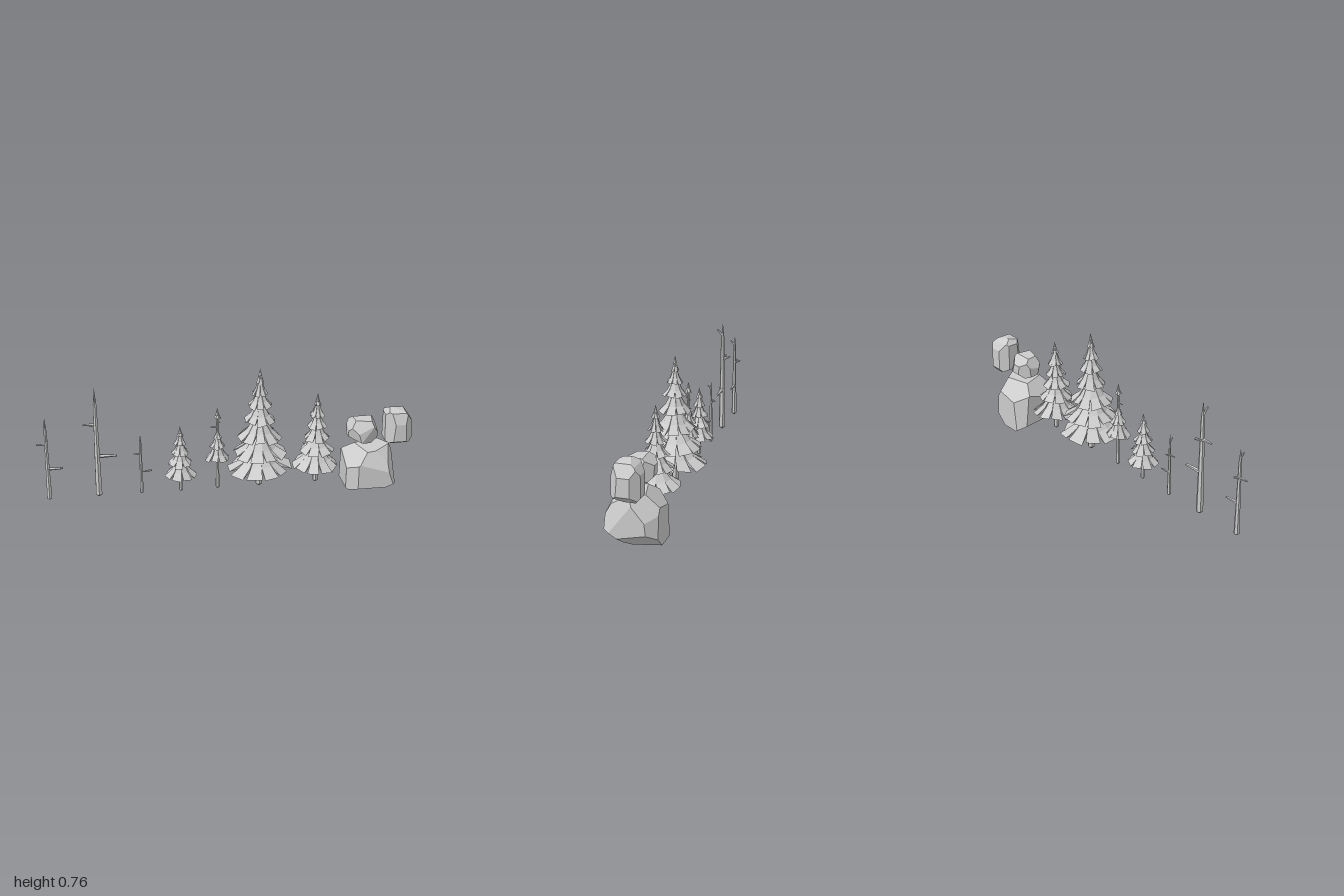
import * as THREE from 'three';
import { ConvexGeometry } from 'three/addons/geometries/ConvexGeometry.js';

const GROUND = 0.065; // height of the trunk feet
const material = new THREE.MeshStandardMaterial({ color: 0xcccccc, flatShading: true });

function seeded(seed) {
  return () => {
    seed = (seed * 16807) % 2147483647;
    return seed / 2147483647;
  };
}

function mesh(name, geometry, parent) {
  const m = new THREE.Mesh(geometry, material);
  m.name = name;
  parent.add(m);
  return m;
}

// Tapered six-sided trunk with a blunt pointed foot
function trunk(parent, radius, height) {
  const profile = [[0, 0], [radius, 0.025 * height], [radius * 0.8, 0.4 * height],
    [radius * 0.55, 0.85 * height], [0, height]];
  mesh('trunk', new THREE.LatheGeometry(profile.map(p => new THREE.Vector2(...p)), 6), parent);
}

// Tapered bough running between two points
function branch(parent, from, to, radius) {
  const a = new THREE.Vector3(...from), d = new THREE.Vector3(...to).sub(a);
  const g = new THREE.CylinderGeometry(radius * 0.55, radius, d.length(), 5);
  const m = mesh('branch', g, parent);
  m.quaternion.setFromUnitVectors(new THREE.Vector3(0, 1, 0), d.clone().normalize());
  m.position.copy(a).addScaledVector(d, 0.5);
}

// Ring of thick wedge-shaped fronds, flared towards the rim
function skirt(parent, y, radius, rise, rand) {
  const count = radius > 0.1 ? 10 : radius > 0.04 ? 8 : 6;
  const start = rand() * Math.PI, pos = [];
  for (let i = 0; i < count; i++) {
    const r = radius * (0.86 + 0.17 * rand()), drop = rise * 0.14 * (rand() - 0.4);
    const mid = start + (i + 0.5) / count * Math.PI * 2, half = Math.PI / count;
    const tilt = (rand() - 0.5) * rise * 0.16;
    // radius, height, share of the angular width
    const profile = [[0.26 * r, y + 1.12 * rise, 1], [0.6 * r, y + 0.45 * rise, 0.97],
      [r, y + drop, 0.82], [0.55 * r, y + 0.2 * rise, 0.92], [0.08 * r, y + 0.6 * rise, 1]];
    const side = s => profile.map(([pr, py, w]) => {
      const a = mid + s * half * w;
      return [pr * Math.sin(a), py + s * tilt * pr / r, pr * Math.cos(a)];
    });
    const L = side(-1), R = side(1), n = profile.length;
    for (let k = 0; k < n; k++) {
      const j = (k + 1) % n;
      pos.push(...L[k], ...L[j], ...R[j], ...L[k], ...R[j], ...R[k]);
    }
    for (const [p, q] of [[2, 3], [3, 4], [4, 0]]) {
      pos.push(...L[1], ...L[q], ...L[p], ...R[1], ...R[p], ...R[q]);
    }
  }
  const g = new THREE.BufferGeometry();
  g.setAttribute('position', new THREE.Float32BufferAttribute(pos, 3));
  g.computeVertexNormals();
  mesh('foliageTier', g, parent);
}

// Pine: tiers are [rim height, rim radius, rise]; the last one is capped by a spike
function pine(parent, name, x, top, trunkRadius, tiers, seed) {
  const tree = new THREE.Group(), rand = seeded(seed);
  tree.name = name;
  tree.position.set(x, GROUND, 0);
  trunk(tree, trunkRadius, top - GROUND - 0.01);
  for (const [y, r, rise] of tiers) skirt(tree, y - GROUND, r, rise, rand);
  const [y, r, rise] = tiers[tiers.length - 1];
  const base = y + 0.45 * rise;
  const spike = mesh('treetop', new THREE.ConeGeometry(r * 0.55, top - base, 6), tree);
  spike.position.y = (top + base) / 2 - GROUND;
  parent.add(tree);
  return tree;
}

// Bare trunk with a few broken boughs, reused at several sizes
function deadTree(parent, x, scale) {
  const tree = new THREE.Group();
  tree.name = 'deadTree';
  trunk(tree, 0.019, 0.64);
  branch(tree, [0, 0.243, 0], [0.103, 0.241, -0.002], 0.012);
  branch(tree, [0, 0.43, 0], [-0.067, 0.431, 0], 0.009);
  branch(tree, [0, 0.425, 0], [0.006, 0.445, -0.045], 0.01);
  branch(tree, [0, 0.565, 0], [0, 0.598, 0.033], 0.008);
  tree.scale.setScalar(scale);
  tree.position.set(x, GROUND, -0.005);
  parent.add(tree);
}

// Boulder: a box trimmed by planes [nx, ny, nz, distance], in half-extent units
function rock(parent, name, min, max, cuts) {
  const planes = [];
  for (const s of [-1, 1]) planes.push([s, 0, 0, 1], [0, s, 0, 1], [0, 0, s, 1]);
  planes.push(...cuts);
  const N = planes.map(p => new THREE.Vector3(p[0], p[1], p[2])), points = [];
  for (let i = 0; i < N.length; i++) for (let j = i + 1; j < N.length; j++) {
    for (let k = j + 1; k < N.length; k++) {
      const jk = N[j].clone().cross(N[k]), det = N[i].dot(jk);
      if (Math.abs(det) < 1e-6) continue;
      const p = jk.multiplyScalar(planes[i][3])
        .addScaledVector(N[k].clone().cross(N[i]), planes[j][3])
        .addScaledVector(N[i].clone().cross(N[j]), planes[k][3]).divideScalar(det);
      const inside = planes.every((q, m) => N[m].dot(p) <= q[3] + 1e-6);
      if (inside && !points.some(o => o.distanceTo(p) < 1e-3)) points.push(p);
    }
  }
  const lo = new THREE.Vector3(...min), hi = new THREE.Vector3(...max);
  const half = hi.clone().sub(lo).multiplyScalar(0.5);
  const m = mesh(name, new ConvexGeometry(points.map(p => p.multiply(half))), parent);
  m.position.copy(lo).add(half);
}

export function createModel() {
  const model = new THREE.Group();
  model.name = 'forestSet';

  deadTree(model, -0.95, 0.77);
  deadTree(model, -0.688, 1);
  deadTree(model, -0.46, 0.56);

  pine(model, 'smallPine', -0.25, 0.457, 0.011,
    [[0.168, 0.088, 0.07], [0.235, 0.066, 0.06], [0.295, 0.05, 0.055],
      [0.35, 0.035, 0.05], [0.4, 0.02, 0.03]], 11);

  // Thin pine with a bare stretch below its tip
  const thin = pine(model, 'thinPine', -0.052, 0.55, 0.011,
    [[0.25, 0.068, 0.07], [0.322, 0.044, 0.05], [0.372, 0.024, 0.035],
      [0.492, 0.02, 0.03]], 29);
  branch(thin, [0, 0.373, 0], [-0.036, 0.375, 0], 0.004);
  branch(thin, [0, 0.395, 0], [0.014, 0.405, 0.01], 0.004);

  pine(model, 'tallPine', 0.173, 0.762, 0.02,
    [[0.178, 0.176, 0.09], [0.268, 0.148, 0.09], [0.365, 0.118, 0.09], [0.46, 0.088, 0.085],
      [0.55, 0.067, 0.068], [0.617, 0.044, 0.06], [0.68, 0.022, 0.05]], 47);

  pine(model, 'mediumPine', 0.483, 0.6, 0.015,
    [[0.175, 0.128, 0.085], [0.262, 0.1, 0.075], [0.335, 0.078, 0.07],
      [0.405, 0.058, 0.06], [0.465, 0.042, 0.06], [0.53, 0.022, 0.04]], 83);

  rock(model, 'largeRock', [0.637, 0, -0.135], [0.902, 0.27, 0.13], [
    [0, -1, 0.55, 1.02], [0.35, -0.8, 0.5, 1.08], [-0.6, -1, 0.1, 1.25],
    [-0.8, 0.9, 0.3, 1.25], [0.5, 0.8, 0.6, 1.25], [0.2, 0.6, 1, 1.25],
    [1, 0.35, 0.45, 1.2], [0.8, 0.5, -0.6, 1.2], [0.8, -0.9, -0.2, 1.26],
    [1, 0.1, -1, 1.6], [-0.8, 0.1, -0.9, 1.35], [-0.2, 0.9, -0.8, 1.2], [-1, 0, 1, 1.58]]);

  rock(model, 'smallRock', [0.655, 0.295, -0.085], [0.81, 0.43, 0.06], [
    [-0.79, 0.4, 0.1, 0.874], [-0.32, -0.75, 0.05, 0.679], [-0.16, -0.78, 0, 0.68],
    [0.63, 0.28, 0.1, 0.69], [0.4, -0.42, 0, 0.644], [-0.3, 0.5, 1, 1.12],
    [0.5, -0.3, 1, 1.15], [-0.8, -0.2, 0.8, 1.1], [0.7, 0.2, -0.9, 1.15],
    [-0.7, -0.1, -0.9, 1.1], [0, 0.9, -0.8, 1.15], [0, -0.9, -0.8, 1.15]]);

  rock(model, 'tallRock', [0.853, 0.27, -0.086], [1, 0.482, 0.06], [
    [0.55, 0.545, 0, 0.72], [0.14, 1.015, 0, 0.937], [-0.29, 0.44, 0, 0.602],
    [0.3, -0.545, 0, 0.627], [-0.3, -0.78, 0, 0.84], [0, 0.2, 0.42, 0.475],
    [0, 0.83, 0.14, 0.8], [0, 0.54, -0.23, 0.552], [0, 0.28, -0.29, 0.396],
    [0, -0.8, 0.33, 0.866], [0, -0.4, -0.3, 0.58], [0.8, 0.1, 0.8, 1.15],
    [-0.8, 0.1, 0.9, 1.2], [0.8, 0, -0.8, 1.15], [-0.8, 0, -0.8, 1.15]]);

  return model;
}
